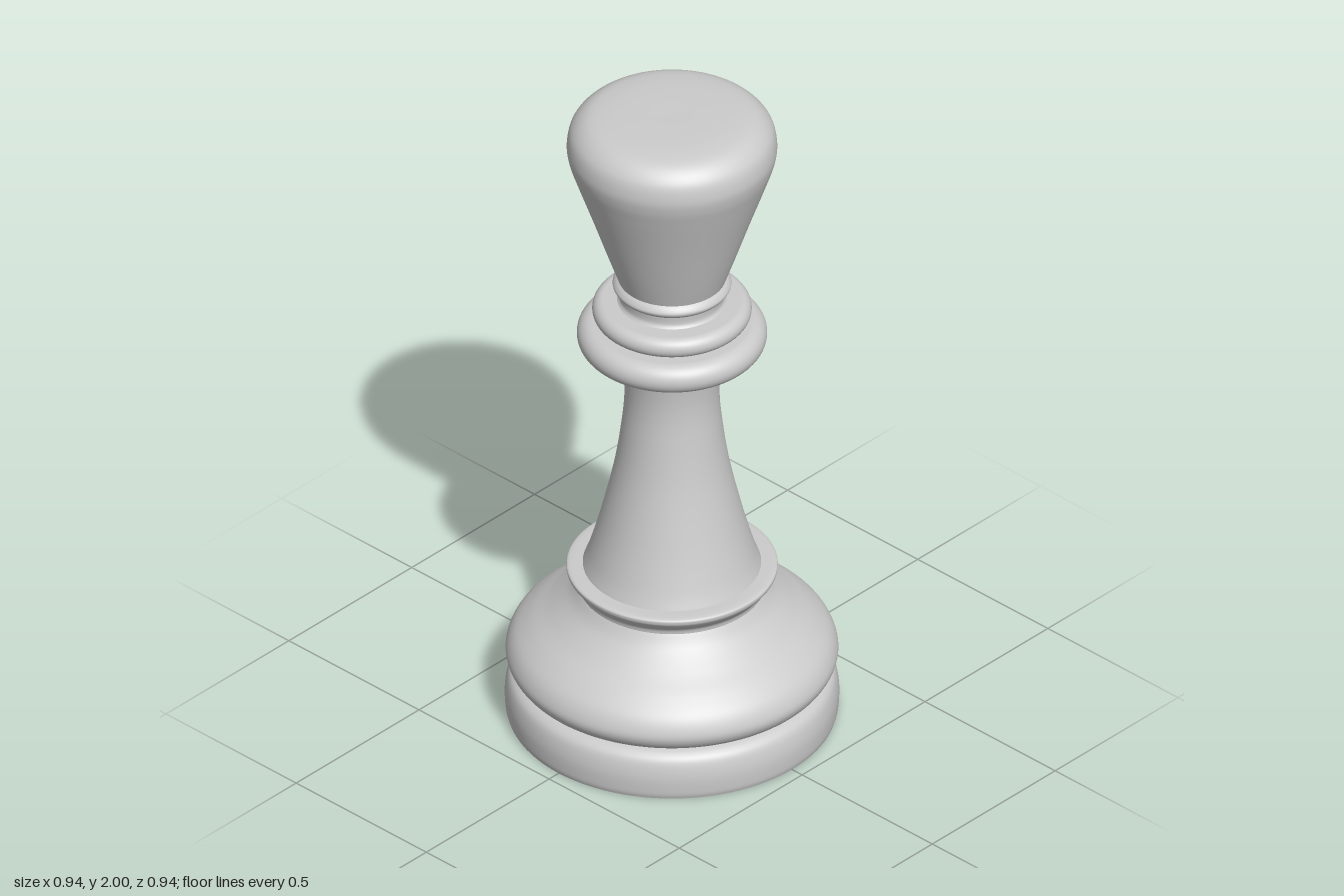
import * as THREE from 'three';

const material = new THREE.MeshStandardMaterial({ color: 0xcccccc, side: THREE.DoubleSide });

// Turns a smooth [radius, height] profile around the y axis
function turned(name, points, steps = 8) {
  const curve = new THREE.SplineCurve(points.map(([r, y]) => new THREE.Vector2(r, y)));
  const profile = curve.getPoints((points.length - 1) * steps);
  profile.forEach((p) => { p.x = Math.max(p.x, 0); });
  const mesh = new THREE.Mesh(new THREE.LatheGeometry(profile, 96), material);
  mesh.name = name;
  return mesh;
}

// Solid ring with a rounded rim
function ring(name, radius, bottom, top) {
  const h = (top - bottom) / 2;
  const path = new THREE.Path();
  path.moveTo(0, bottom);
  path.lineTo(radius - h, bottom);
  path.absarc(radius - h, bottom + h, h, -Math.PI / 2, Math.PI / 2, false);
  path.lineTo(0, top);
  const mesh = new THREE.Mesh(new THREE.LatheGeometry(path.getPoints(16), 96), material);
  mesh.name = name;
  return mesh;
}

export function createModel() {
  const model = new THREE.Group();
  model.name = 'chessPiece';

  model.add(
    // Foot: flat underside, upright rim rounding into a groove
    turned('underside', [[0, 0], [0.461, 0]], 1),
    turned('foot', [[0.461, 0], [0.466, 0.02], [0.467, 0.07], [0.457, 0.115], [0.437, 0.136], [0.408, 0.145]]),
    // Bulging body above the groove
    turned('body', [[0.408, 0.145], [0.442, 0.157], [0.462, 0.185], [0.463, 0.215], [0.443, 0.255],
      [0.4, 0.295], [0.345, 0.335], [0.29, 0.382], [0.262, 0.42]]),
    // Flared lip at the foot of the stem
    turned('lip', [[0.262, 0.42], [0.266, 0.436], [0.285, 0.458], [0.295, 0.474], [0.289, 0.487], [0.24, 0.489]]),
    // Waisted stem
    turned('stem', [[0.25, 0.487], [0.231, 0.54], [0.198, 0.66], [0.16, 0.83], [0.139, 0.98],
      [0.133, 1.07], [0.138, 1.15], [0.15, 1.205], [0.18, 1.218]]),
    // Two stacked collars
    ring('lowerCollar', 0.266, 1.218, 1.308),
    ring('upperCollar', 0.223, 1.315, 1.376),
    turned('collarCore', [[0.19, 1.3], [0.19, 1.32]], 1),
    // Neck with a thin bead
    turned('neck', [[0.16, 1.37], [0.147, 1.385], [0.147, 1.41]]),
    turned('neckBead', [[0.147, 1.41], [0.16, 1.42], [0.166, 1.432], [0.16, 1.444], [0.151, 1.452]]),
    // Flared head with a softly rounded top
    turned('head', [[0.151, 1.452], [0.18, 1.535], [0.225, 1.668], [0.27, 1.797], [0.289, 1.856], [0.294, 1.9],
      [0.282, 1.948], [0.245, 1.983], [0.19, 1.996], [0.1, 2], [0, 2]])
  );
  return model;
}
